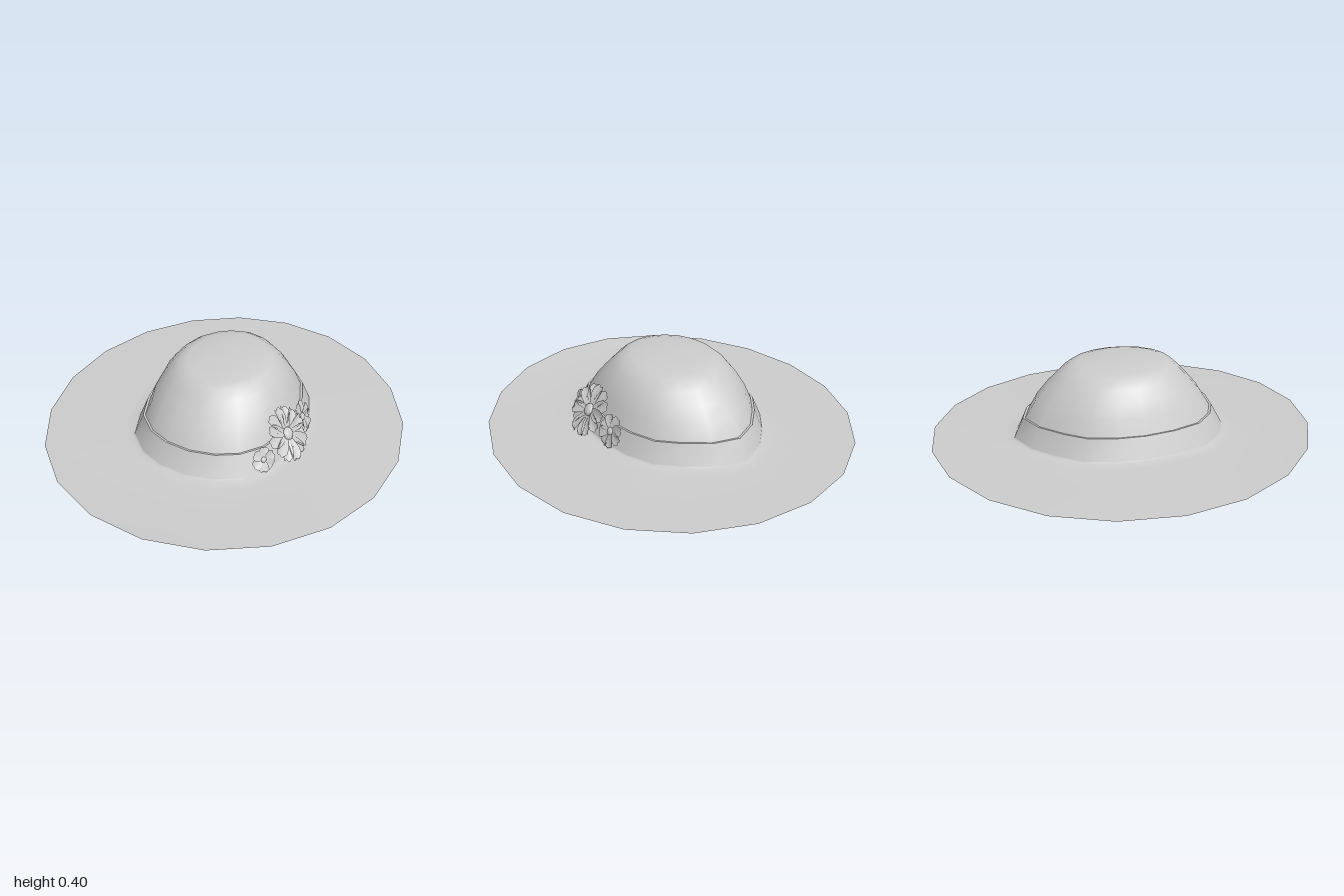
import * as THREE from 'three';

const material = new THREE.MeshStandardMaterial({ color: 0xcccccc, roughness: 0.8, side: THREE.DoubleSide });
const SEGMENTS = 20;

// Half outline of the head opening from back to front, in unit size: [x, z]
const OUTLINE = [
  [0, -1], [0.34, -0.905], [0.63, -0.72], [0.85, -0.53], [0.96, -0.28], [1, 0],
  [0.96, 0.33], [0.85, 0.64], [0.61, 0.85], [0.33, 0.96], [0, 1],
];

function mesh(name, geometry) {
  const m = new THREE.Mesh(geometry, material);
  m.name = name;
  return m;
}

// A ring with half width rx, front depth zf and back depth zb; round = 1 gives an ellipse.
function ring(y, rx, zf, zb, round = 0) {
  const points = [];
  for (let k = 0; k < SEGMENTS; k++) {
    const [ox, oz] = OUTLINE[k <= 10 ? k : SEGMENTS - k];
    const a = (k / SEGMENTS) * Math.PI * 2;
    const x = THREE.MathUtils.lerp(k <= 10 ? ox : -ox, Math.sin(a), round);
    const z = THREE.MathUtils.lerp(oz, -Math.cos(a), round);
    const height = typeof y === 'function' ? y(x, z) : y;
    points.push([x * rx, height, z * (z > 0 ? zf : zb)]);
  }
  return points;
}

// Skin a list of rings, ordered from the outside or bottom to the inside or top.
function loft(rings) {
  const index = [];
  for (let i = 0; i < rings.length - 1; i++) {
    for (let k = 0; k < SEGMENTS; k++) {
      const a = i * SEGMENTS + k;
      const b = i * SEGMENTS + ((k + 1) % SEGMENTS);
      index.push(a, a + SEGMENTS, b, b, a + SEGMENTS, b + SEGMENTS);
    }
  }
  const geometry = new THREE.BufferGeometry();
  geometry.setAttribute('position', new THREE.Float32BufferAttribute(rings.flat(2), 3));
  geometry.setIndex(index);
  geometry.computeVertexNormals();
  return geometry;
}

// One petal along +y: narrow root, broad tip with a shallow notch, gently cupped.
function petalGeometry(length, width) {
  const s = new THREE.Shape();
  s.moveTo(-width * 0.15, 0);
  s.bezierCurveTo(-width * 0.4, length * 0.4, -width * 0.75, length * 0.85, -width * 0.3, length);
  s.quadraticCurveTo(-width * 0.1, length * 1.02, 0, length * 0.95);
  s.quadraticCurveTo(width * 0.1, length * 1.02, width * 0.3, length);
  s.bezierCurveTo(width * 0.75, length * 0.85, width * 0.4, length * 0.4, width * 0.15, 0);
  const geometry = new THREE.ShapeGeometry(s, 4);
  const p = geometry.attributes.position;
  for (let i = 0; i < p.count; i++) {
    const u = p.getX(i) / width;
    const v = p.getY(i) / length;
    p.setZ(i, length * (0.35 * u * u + 0.1 * v * (1 - v)));
  }
  geometry.computeVertexNormals();
  return geometry;
}

// A daisy facing along its normal
function flower(name, center, normal, radius, petals) {
  const group = new THREE.Group();
  group.name = name;
  const geometry = petalGeometry(radius, (radius * 4.4) / petals + radius * 0.14);
  for (let i = 0; i < petals; i++) {
    const petal = mesh('petal', geometry);
    petal.rotation.order = 'ZYX';
    petal.rotation.set(i % 2 ? 0.06 : -0.02, 0.1, (i / petals) * Math.PI * 2);
    group.add(petal);
  }
  const heart = mesh('flowerCenter', new THREE.SphereGeometry(radius * 0.24, 14, 10));
  heart.scale.z = 0.55;
  heart.position.z = radius * 0.05;
  group.add(heart);
  group.position.set(...center);
  group.quaternion.setFromUnitVectors(new THREE.Vector3(0, 0, 1), new THREE.Vector3(...normal).normalize());
  return group;
}

export function createModel() {
  const hat = new THREE.Group();
  hat.name = 'sunHat';

  // Brim and open crown in one smooth skin; the rim lifts at front and back
  const rimHeight = (x, z) => 0.003 + (x < 0 ? 0.006 * x * x : 0) + (z > 0 ? 0.032 : 0.016) * z * z;
  hat.add(mesh('brimAndCrown', loft([
    ring(rimHeight, 0.945, 1, 1, 1),
    ring(0.017, 0.68, 0.76, 0.78, 0.8),
    ring(0.022, 0.5, 0.6, 0.64, 0.3),
    ring(0.026, 0.445, 0.545, 0.59),
    ring(0.04, 0.425, 0.522, 0.568),
    ring(0.14, 0.382, 0.463, 0.518),
    ring(0.22, 0.355, 0.415, 0.465, 0.2),
    ring(0.29, 0.32, 0.355, 0.4, 0.4),
    ring(0.345, 0.28, 0.305, 0.34, 0.6),
    ring(0.38, 0.24, 0.268, 0.285, 0.8),
    ring(0.395, 0.195, 0.225, 0.23, 1),
    ring(0.402, 0.11, 0.13, 0.13, 1),
    ring(0.405, 0, 0, 0, 1),
  ])));

  // Ribbon round the crown with a narrow top edge
  const bandTop = ring(0.14, 0.394, 0.475, 0.531);
  hat.add(mesh('hatBand', loft([ring(0.035, 0.436, 0.533, 0.579), bandTop])));
  hat.add(mesh('hatBandTopEdge', loft([bandTop, ring(0.138, 0.38, 0.46, 0.515)])));

  // Flowers on the left side
  hat.add(flower('largeFlower', [0.4, 0.14, 0.165], [0.8, 0.55, 0.15], 0.14, 13));
  hat.add(flower('smallFrontFlower', [0.345, 0.1, 0.352], [0.7, 0.42, 0.58], 0.062, 6));
  hat.add(flower('smallBackFlower', [0.415, 0.11, -0.03], [0.93, 0.36, 0.03], 0.085, 8));
  return hat;
}
